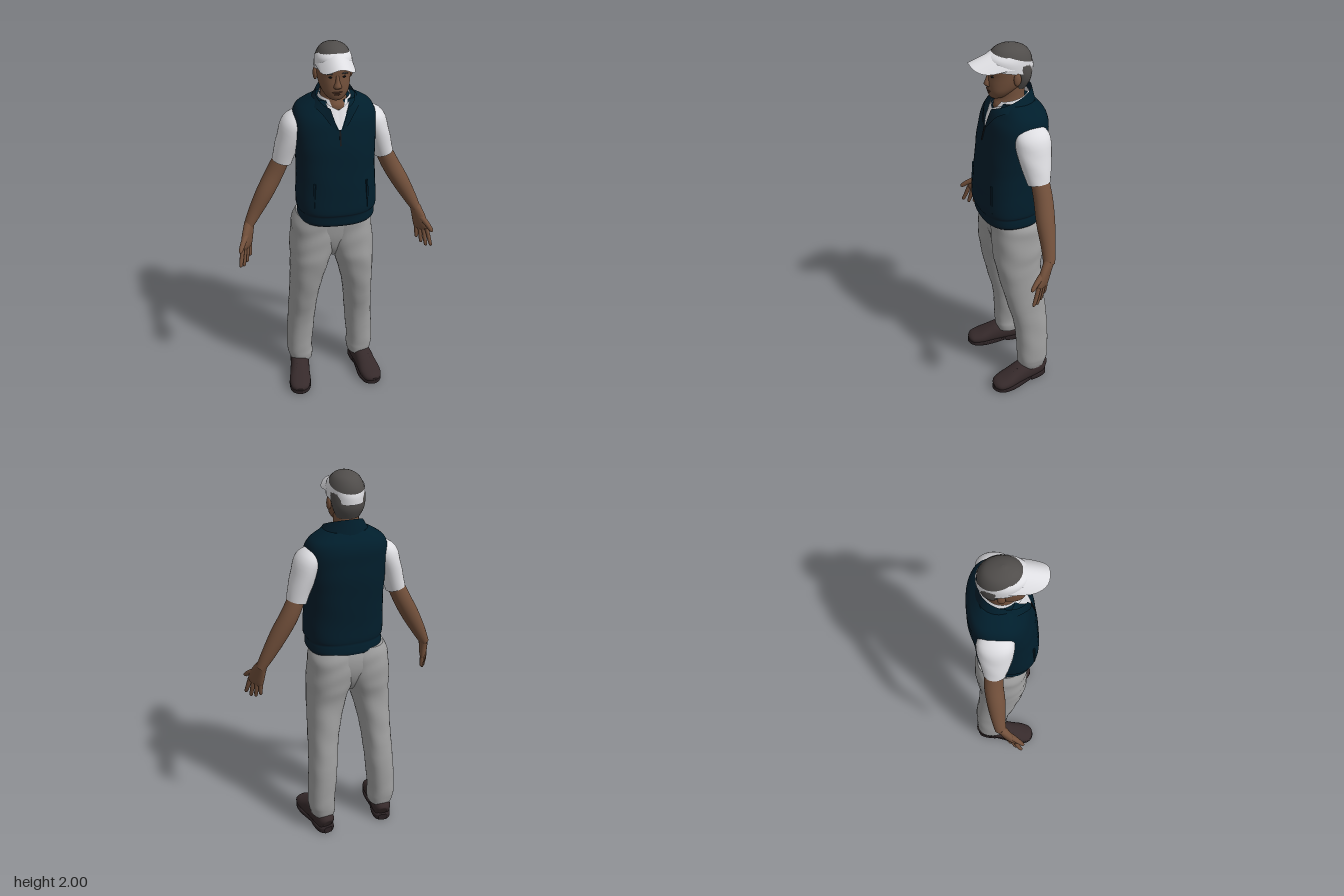
import * as THREE from 'three';

const mat = (name, color, side = THREE.FrontSide) => {
  const m = new THREE.MeshStandardMaterial({ color, side });
  m.name = name;
  return m;
};

// Smooth loft through rings [x, y, z, ru, rv].
// Rings lie flat, or square to the path when a reference direction is given.
function loft(rings, { seg = 28, n = 2, sub = 4, ref = null, fold = 0, tilt = null, caps = true } = {}) {
  const rows = [], last = rings.length - 1;
  const at = (i, k) => rings[Math.min(Math.max(i, 0), last)][k];
  for (let i = 0; i < last; i++) {
    for (let j = 0; j < sub + (i === last - 1 ? 1 : 0); j++) {
      const t = j / sub;
      rows.push([0, 1, 2, 3, 4].map((k) => {
        const a = at(i - 1, k), b = at(i, k), c = at(i + 1, k), d = at(i + 2, k);
        return b + 0.5 * t * (c - a + t * (2 * a - 5 * b + 4 * c - d + t * (3 * (b - c) + d - a)));
      }));
    }
  }
  const pos = [], idx = [], R = rows.length;
  const centre = rows.map((r) => new THREE.Vector3(r[0], r[1], r[2]));
  rows.forEach((r, i) => {
    let u = new THREE.Vector3(1, 0, 0), v = new THREE.Vector3(0, 0, 1);
    if (ref) {
      const t = centre[Math.min(i + 1, R - 1)].clone().sub(centre[Math.max(i - 1, 0)]).normalize();
      v = ref.clone().addScaledVector(t, -ref.dot(t)).normalize();
      u = t.clone().cross(v);
    }
    const lean = tilt ? tilt[0] + (tilt[1] - tilt[0]) * i / (R - 1) : 0;
    for (let j = 0; j < seg; j++) {
      const a = (j / seg) * Math.PI * 2, c = Math.cos(a), s = Math.sin(a);
      const f = 1 + fold * Math.sin(r[1] * 48 + 2 * Math.sin(a * 2 + r[1] * 9));
      const p = centre[i].clone()
        .addScaledVector(u, r[3] * f * Math.sign(c) * Math.abs(c) ** (2 / n))
        .addScaledVector(v, r[4] * f * Math.sign(s) * Math.abs(s) ** (2 / n));
      pos.push(p.x, p.y + lean * p.z, p.z);
    }
  });
  for (let i = 0; i < R - 1; i++) for (let j = 0; j < seg; j++) {
    const a = i * seg + j, b = i * seg + (j + 1) % seg;
    idx.push(a, a + seg, b + seg, a, b + seg, b);
  }
  if (caps) for (const end of [0, R - 1]) {
    const base = pos.length / 3;
    pos.push(...pos.slice(end * seg * 3, (end + 1) * seg * 3), ...centre[end].toArray());
    for (let j = 0; j < seg; j++) {
      const a = base + j, b = base + (j + 1) % seg;
      if (end) idx.push(a, base + seg, b); else idx.push(a, b, base + seg);
    }
  }
  return finish(pos, idx);
}

function finish(pos, idx) {
  const g = new THREE.BufferGeometry();
  g.setAttribute('position', new THREE.Float32BufferAttribute(pos, 3));
  g.setIndex(idx);
  g.computeVertexNormals();
  return g;
}

// Open sheet from a point rule f(s, t), both 0..1
function sheet(f, nu, nv) {
  const pos = [], idx = [];
  for (let i = 0; i <= nv; i++) for (let j = 0; j <= nu; j++) pos.push(...f(j / nu, i / nv));
  for (let i = 0; i < nv; i++) for (let j = 0; j < nu; j++) {
    const a = i * (nu + 1) + j, b = a + nu + 1;
    idx.push(a, a + 1, b + 1, a, b + 1, b);
  }
  return finish(pos, idx);
}

// Standing collar with a front opening that widens from gap0 to gap1 radians
const collar = (gap0, gap1, low, high) => sheet((s, t) => {
  const gap = gap0 + (gap1 - gap0) * t, a = gap + s * (Math.PI * 2 - 2 * gap);
  const top = high(Math.sin(a), Math.cos(a));
  return low(Math.sin(a), Math.cos(a)).map((p, k) => p + (top[k] - p) * t);
}, 48, 6);

export function createModel() {
  const D = THREE.DoubleSide;
  const navy = mat('navy vest', 0x011e2c, D), white = mat('white cloth', 0xdedee2, D);
  const skin = mat('brown skin', 0x72503b), lip = mat('dark skin', 0x553729);
  const grey = mat('grey trousers', 0xa0a0a0, D), shoe = mat('dark brown leather', 0x362a2b);
  const sole = mat('sole', 0x2a2123), hair = mat('grey hair', 0x504d4b), dark = mat('dark trim', 0x15181c);
  const root = new THREE.Group();
  const add = (name, geo, m, x = 0, y = 0, z = 0) => {
    const mesh = new THREE.Mesh(geo, m);
    mesh.name = name;
    mesh.position.set(x, y, z);
    root.add(mesh);
    return mesh;
  };
  const ball = (name, m, x, y, z, sx, sy, sz) =>
    add(name, new THREE.SphereGeometry(1, 16, 10), m, x, y, z).scale.set(sx, sy, sz);
  const Z = new THREE.Vector3(0, 0, 1), Y = new THREE.Vector3(0, 1, 0);
  const hx = -0.008; // the head sits a touch off centre

  // Vest body with gathered hem
  add('vest', loft([
    [0, 1.09, 0, 0.188, 0.15], [0, 1.105, 0.002, 0.197, 0.157], [0, 1.135, 0.004, 0.197, 0.157],
    [0, 1.15, 0.006, 0.196, 0.157], [0, 1.175, 0.008, 0.206, 0.163], [0, 1.28, 0.002, 0.202, 0.162],
    [0, 1.4, -0.01, 0.198, 0.162], [0, 1.5, -0.02, 0.203, 0.16], [0, 1.58, -0.029, 0.207, 0.151],
    [0, 1.64, -0.038, 0.206, 0.14], [0, 1.68, -0.045, 0.189, 0.121], [0, 1.705, -0.043, 0.157, 0.103],
    [0, 1.728, -0.038, 0.115, 0.085]], { seg: 48, n: 2.5, fold: 0.004 }), navy);
  add('vestCollar', collar(0.05, 0.47,
    (s, c) => [0.128 * s, 1.702 - 0.105 * Math.max(0, c) ** 6, -0.027 + (c > 0 ? 0.149 : 0.11) * c],
    (s, c) => [0.094 * s, 1.747 - 0.043 * c, -0.003 + 0.114 * c]), navy);
  add('zip', new THREE.BoxGeometry(0.008, 0.075, 0.005), dark, 0, 1.565, 0.127).rotation.x = -0.23;

  // Shirt front and open collar inside the V
  add('shirtFront', sheet((s, t) => {
    const k = s * 2 - 1, x = k * (0.006 + 0.054 * t);
    return [x, 1.605 + t * (0.085 + 0.035 * Math.abs(k)), 0.119 - 0.04 * t - 7 * x * x];
  }, 12, 6), white);
  add('shirtCollar', collar(0.2, 0.55,
    (s, c) => [0.09 * s, 1.7 - 0.02 * c, -0.02 + 0.105 * c],
    (s, c) => [0.074 * s, 1.75 - 0.018 * c, -0.02 + 0.08 * c]), white);

  // Neck and head
  add('neck', loft([[0, 1.66, -0.02, 0.07, 0.085], [0, 1.705, -0.012, 0.067, 0.082],
    [hx, 1.745, -0.018, 0.062, 0.068], [hx, 1.83, -0.02, 0.062, 0.07]]), skin);
  add('head', loft([
    [hx, 1.742, 0.058, 0.022, 0.022], [hx, 1.755, 0.048, 0.044, 0.043], [hx, 1.785, 0.03, 0.065, 0.068],
    [hx, 1.82, 0.004, 0.076, 0.095], [hx, 1.86, -0.006, 0.081, 0.101], [hx, 1.9, -0.01, 0.083, 0.107],
    [hx, 1.94, -0.012, 0.079, 0.1], [hx, 1.97, -0.01, 0.062, 0.08], [hx, 1.985, -0.005, 0.03, 0.04]],
    { n: 2.15 }), skin);
  add('hair', loft([
    [hx, 1.785, -0.045, 0.056, 0.048], [hx, 1.83, -0.055, 0.077, 0.06], [hx, 1.88, -0.044, 0.086, 0.077],
    [hx, 1.93, -0.013, 0.086, 0.106], [hx, 1.97, -0.012, 0.067, 0.084], [hx, 1.99, -0.008, 0.04, 0.05],
    [hx, 2, -0.006, 0.006, 0.008]]), hair);
  add('nose', loft([[hx, 1.803, 0.09, 0.016, 0.01], [hx, 1.815, 0.095, 0.02, 0.021],
    [hx, 1.84, 0.092, 0.011, 0.016], [hx, 1.868, 0.088, 0.008, 0.01]], { seg: 14 }), skin);
  ball('upperLip', lip, hx, 1.787, 0.093, 0.026, 0.005, 0.009);
  ball('lowerLip', lip, hx, 1.777, 0.09, 0.022, 0.006, 0.009);

  // Visor: sloping band and a brim that flows from its top edge
  add('visorBand', loft([[hx, 1.88, -0.01, 0.09, 0.117], [hx, 1.922, -0.012, 0.0895, 0.116],
    [hx, 1.952, -0.032, 0.084, 0.092]], { seg: 40, caps: false, tilt: [0.16, 0.34] }), white);
  add('visorBrim', sheet((s, t) => {
    const k = s * 2 - 1, q = Math.sqrt(Math.max(0, 1 - k * k));
    const inner = -0.005 + 0.056 * q, outer = 0.03 + 0.16 * Math.sqrt(Math.max(0, 1 - Math.abs(k) ** 3));
    const z = inner + (outer - inner) * t;
    return [hx + 0.09 * k, 1.977 - 0.34 * Math.max(0, z - 0.045) - 0.075 * k * k, z];
  }, 28, 10), white);

  for (const s of [1, -1]) {
    const L = s > 0 ? 'left' : 'right';
    const part = (name, rings, m, opt) =>
      add(L + name, loft(rings.map(([x, ...r]) => [s * x, ...r]), opt), m);

    // Face details
    ball(L + 'Ear', skin, hx + s * 0.086, 1.85, -0.018, 0.011, 0.032, 0.019);
    ball(L + 'Eye', dark, hx + s * 0.032, 1.86, 0.087, 0.01, 0.004, 0.006);
    ball(L + 'Brow', hair, hx + s * 0.033, 1.877, 0.089, 0.019, 0.004, 0.006);

    // Sleeve and bare arm
    part('Sleeve', [[0.165, 1.64, -0.045, 0.03, 0.062], [0.196, 1.59, -0.048, 0.064, 0.09],
      [0.23, 1.5, -0.05, 0.06, 0.079], [0.264, 1.39, -0.055, 0.051, 0.057]], white, { ref: Z, fold: 0.014 });
    part('Arm', [[0.255, 1.42, -0.058, 0.042, 0.045], [0.302, 1.32, -0.062, 0.046, 0.047],
      [0.357, 1.22, -0.053, 0.045, 0.046], [0.412, 1.12, -0.045, 0.036, 0.036],
      [0.453, 1.043, -0.034, 0.025, 0.029]], skin, { ref: Z });

    // Hand with the palm turned forward and inward: palm, four fingers and thumb
    const w = new THREE.Vector3(0.6 * s, 0, 0.8);
    part('Palm', [[0.448, 1.055, -0.036, 0.024, 0.028], [0.462, 1.005, -0.012, 0.021, 0.041],
      [0.473, 0.955, 0.006, 0.017, 0.047], [0.478, 0.932, 0.01, 0.009, 0.042]], skin, { ref: w, n: 2.3 });
    [0.036, 0.012, -0.012, -0.036].forEach((k, i) => {
      const len = [0.088, 0.1, 0.094, 0.074][i], x = 0.475 + 0.6 * k, z = 0.01 + 0.8 * k;
      part('Finger' + (i + 1), [[x, 0.95, z, 0.011, 0.012],
        [x + 0.006 + 0.1 * k, 0.945 - len * 0.5, z + 0.01 + 0.15 * k, 0.0105, 0.0115],
        [x + 0.01 + 0.2 * k, 0.952 - len, z + 0.02 + 0.3 * k, 0.008, 0.009],
        [x + 0.01 + 0.2 * k, 0.946 - len, z + 0.021 + 0.3 * k, 0.002, 0.002]], skin, { ref: w, seg: 10 });
    });
    part('Thumb', [[0.468, 1.01, 0, 0.016, 0.018], [0.492, 0.985, 0.042, 0.014, 0.014],
      [0.51, 0.958, 0.075, 0.01, 0.011], [0.514, 0.95, 0.083, 0.003, 0.003]], skin, { ref: w, seg: 12 });

    // Vest side pocket
    const pocket = add(L + 'PocketWelt', new THREE.BoxGeometry(0.01, 0.15, 0.008), navy, s * 0.135, 1.26, 0.14);
    pocket.rotation.set(-0.06, s * 0.55, s * 0.06);

    // Trouser leg
    add(L + 'TrouserLeg', loft([
      [0.172, 0.1, -0.085, 0.064, 0.076], [0.175, 0.14, -0.086, 0.071, 0.084], [0.178, 0.2, -0.087, 0.073, 0.087],
      [0.164, 0.4, -0.08, 0.076, 0.094], [0.149, 0.6, -0.046, 0.081, 0.108], [0.123, 0.8, -0.019, 0.102, 0.122],
      [0.104, 0.9, -0.022, 0.12, 0.134], [0.09, 1, -0.024, 0.126, 0.137], [0.085, 1.06, -0.022, 0.126, 0.136],
      [0.076, 1.11, -0.014, 0.11, 0.132]].map(([x, ...r]) => [s * x - 0.018, ...r]),
    { seg: 32, n: 2.25, sub: 6, fold: 0.012 }), grey);

    // Shoe, turned slightly outward
    const foot = (name, rings, m, n) => add(L + name,
      loft(rings.map(([z, y, rw, rh]) => [s * (0.192 + 0.16 * z) - 0.018, y, z, rw, rh]), { ref: Y, n, sub: 5 }), m);
    foot('Shoe', [[-0.165, 0.06, 0.025, 0.03], [-0.15, 0.066, 0.045, 0.052], [-0.1, 0.072, 0.054, 0.06],
      [-0.03, 0.07, 0.054, 0.062], [0.03, 0.058, 0.056, 0.051], [0.09, 0.046, 0.06, 0.037],
      [0.14, 0.038, 0.048, 0.027], [0.161, 0.034, 0.018, 0.012]], shoe, 2.3);
    foot('Sole', [[-0.07, 0.024, 0.048, 0.008], [-0.02, 0.015, 0.05, 0.014], [0.06, 0.014, 0.062, 0.014],
      [0.12, 0.015, 0.056, 0.014], [0.15, 0.018, 0.038, 0.013], [0.164, 0.02, 0.014, 0.011]], sole, 5);
    foot('Heel', [[-0.168, 0.018, 0.024, 0.018], [-0.15, 0.018, 0.044, 0.018], [-0.11, 0.018, 0.052, 0.018],
      [-0.06, 0.018, 0.05, 0.018]], sole, 5);
    for (let i = 0; i < 3; i++) {
      const z = 0.02 + i * 0.022;
      add(L + 'Lace' + (i + 1), new THREE.BoxGeometry(0.04, 0.006, 0.006), sole,
        s * (0.192 + 0.16 * z) - 0.018, 0.112 - i * 0.011, z).rotation.x = 0.45;
    }
  }

  // Seat of the trousers filling the seam between the legs
  add('trouserSeat', loft([[-0.018, 0.85, -0.02, 0.02, 0.06], [-0.018, 0.91, -0.022, 0.09, 0.1],
    [-0.018, 0.98, -0.024, 0.17, 0.124], [-0.016, 1.05, -0.022, 0.195, 0.132], [-0.01, 1.11, -0.015, 0.18, 0.13]],
    { seg: 40, n: 2.3 }), grey);

  return root;
}
